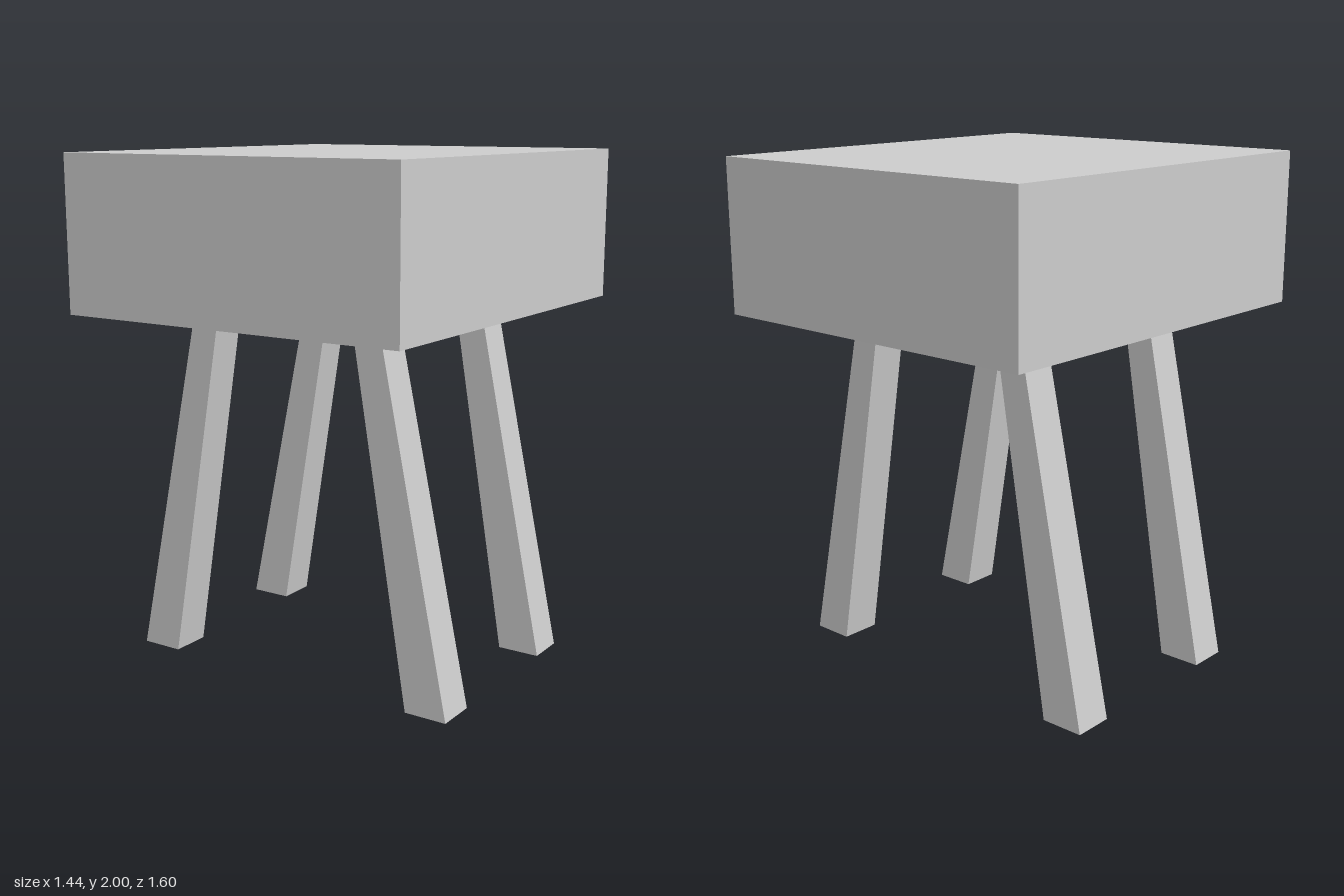
import * as THREE from 'three';

const SEAT = { width: 1.436, height: 0.595, depth: 1.6 };
const LEG_HEIGHT = 2 - SEAT.height;

// Splayed, tapered leg: a box whose top and bottom rectangles are placed separately
function legGeometry(sideX, sideZ) {
  const top = { x: 0.359, z: 0.373, w: 0.114, d: 0.14 };
  const bottom = { x: 0.625, z: 0.373, w: 0.17, d: 0.16 };
  const geometry = new THREE.BoxGeometry(1, LEG_HEIGHT, 1);
  geometry.translate(0, LEG_HEIGHT / 2, 0);
  const pos = geometry.attributes.position;
  for (let i = 0; i < pos.count; i++) {
    const end = pos.getY(i) > LEG_HEIGHT / 2 ? top : bottom;
    pos.setX(i, sideX * end.x + pos.getX(i) * end.w);
    pos.setZ(i, sideZ * end.z + pos.getZ(i) * end.d);
  }
  geometry.computeVertexNormals();
  return geometry;
}

export function createModel() {
  const group = new THREE.Group();
  group.name = 'stool';
  const material = new THREE.MeshStandardMaterial({ color: 0xcccccc, flatShading: true });

  // Thick block seat
  const seat = new THREE.Mesh(new THREE.BoxGeometry(SEAT.width, SEAT.height, SEAT.depth), material);
  seat.name = 'seat';
  seat.position.y = LEG_HEIGHT + SEAT.height / 2;
  group.add(seat);

  // Four legs, splayed to the sides
  for (const sideX of [-1, 1]) {
    for (const sideZ of [-1, 1]) {
      const leg = new THREE.Mesh(legGeometry(sideX, sideZ), material);
      leg.name = (sideZ > 0 ? 'front' : 'back') + (sideX > 0 ? 'Left' : 'Right') + 'Leg';
      group.add(leg);
    }
  }
  return group;
}
